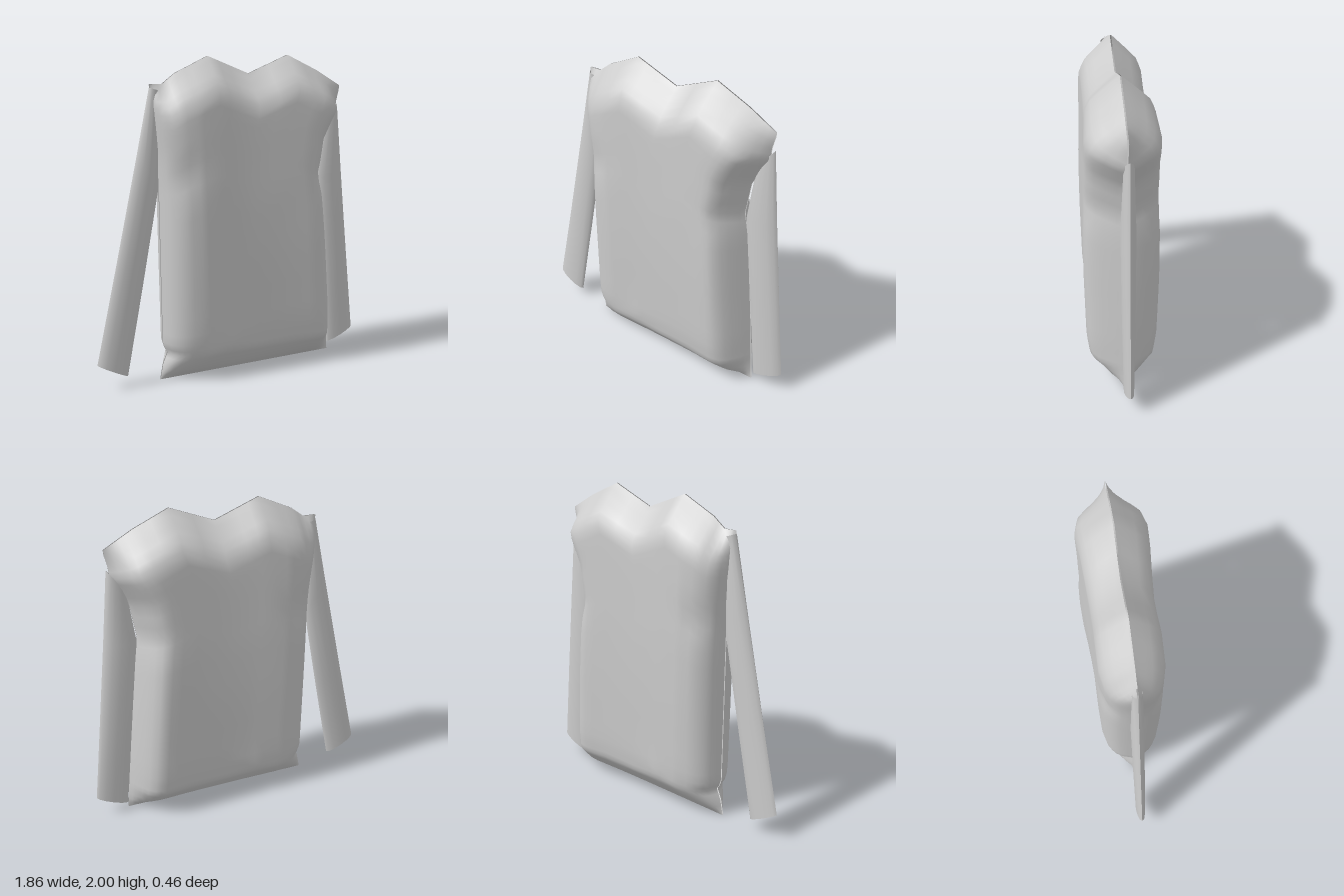
import * as THREE from 'three';

// Piecewise-linear lookup through [t, value] pairs
function along(table, t) {
  if (t <= table[0][0]) return table[0][1];
  for (let i = 1; i < table.length; i++) {
    const [t0, a] = table[i - 1], [t1, b] = table[i];
    if (t <= t1) return a + (b - a) * (t - t0) / (t1 - t0);
  }
  return table[table.length - 1][1];
}

// Smooth surface from a grid of points; flip reverses the facing
function gridSurface(rows, flip = false) {
  const n = rows[0].length, index = [];
  for (let j = 0; j < rows.length - 1; j++) {
    for (let i = 0; i < n - 1; i++) {
      const a = j * n + i, b = a + 1, c = a + n, d = c + 1;
      if (flip) index.push(a, d, b, a, c, d);
      else index.push(a, b, d, a, d, c);
    }
  }
  const g = new THREE.BufferGeometry();
  g.setAttribute('position', new THREE.Float32BufferAttribute(rows.flat(2), 3));
  g.setIndex(index);
  g.computeVertexNormals();
  return g;
}

// Outline of the body: side edges by height, neckline and shoulders by x
const leftEdge = [[0, -0.52], [0.1, -0.5], [0.17, -0.47], [0.22, -0.5], [1.2, -0.51], [1.4, -0.52], [1.72, -0.56], [1.82, -0.56]];
const rightEdge = [[0, 0.72], [0.4, 0.695], [0.8, 0.66], [1.1, 0.63], [1.24, 0.605], [1.45, 0.64], [1.56, 0.7], [1.64, 0.75], [1.7, 0.75], [1.8, 0.775]];
const topEdge = [[-0.56, 1.84], [-0.48, 1.84], [-0.4, 1.9], [-0.18, 2], [0.1, 1.89], [0.38, 2], [0.6, 1.9], [0.775, 1.8]];

// Puffiness: base depth, and falloff towards each seam
const depth = [[-0.5, 0.2], [0, 0.195], [0.3, 0.21], [0.52, 0.232], [0.7, 0.225]];
const fromTop = [[0, 0], [0.09, 0.45], [0.16, 0.78], [0.24, 0.92], [0.4, 0.95], [0.8, 1]];
const fromBottom = [[0, 0], [0.06, 0.4], [0.17, 0.86], [0.3, 0.94], [0.8, 1]];
const fromLeft = [[0, 0], [0.02, 0.4], [0.05, 0.65], [0.1, 0.86], [0.2, 1]];
const fromRight = [[0, 0], [0.04, 0.4], [0.09, 0.8], [0.13, 0.95], [0.2, 1]];

const columns = [-0.56, -0.55, -0.535, -0.51, -0.48, -0.44, -0.4, -0.34, -0.29, -0.18, -0.11, -0.04, 0.1,
  0.24, 0.38, 0.49, 0.56, 0.6, 0.64, 0.68, 0.71, 0.735, 0.755, 0.775];
const heights = [0, 0.03, 0.06, 0.1, 0.14, 0.17, 0.2, 0.24, 0.3, 0.4, 0.55, 0.7, 0.85, 1, 1.1, 1.18, 1.24,
  1.31, 1.38, 1.45, 1.51, 1.56, 1.6, 1.64, 1.68, 1.72, 1.76, 1.79, 1.82];

const dent = (x, y, cx, cy, r, amount) => amount * Math.exp(-((x - cx) ** 2 + (y - cy) ** 2) / (r * r));

// One half of the body; side is 1 for the front and -1 for the back
function bodyPanel(side) {
  const rows = heights.map(h => {
    const l = along(leftEdge, h), r = along(rightEdge, h);
    return columns.map(c => {
      const x = l + (r - l) * (c + 0.56) / 1.335;
      const top = along(topEdge, c), y = top * h / 1.82;
      const puff = along(fromTop, top - y) * along(fromBottom, y) *
        along(fromLeft, x - l) * along(fromRight, r - x);
      const folds = dent(x, y, -0.42, 1.3, 0.09, 0.025) + dent(x, y, 0.55, 1.22, 0.08, 0.02) +
        dent(x, y, -0.1, 0.24, 0.07, -0.012);
      return [x, Math.max(y, 0), side * (0.004 + puff * (along(depth, x) - folds))];
    });
  });
  return gridSurface(rows, side < 0);
}

// Flat lens-shaped sleeve from rows of [outerX, outerY, innerX, innerY, halfDepth]
function sleeve(sections, z0, flip) {
  const rows = sections.map(([ox, oy, ix, iy, d]) => {
    const ring = [];
    for (let k = 0; k <= 12; k++) {
      const a = k / 12 * Math.PI * 2, s = (1 - Math.cos(a)) / 2;
      ring.push([ox + (ix - ox) * s, oy + (iy - oy) * s, z0 + d * Math.sin(a)]);
    }
    return ring;
  });
  return gridSurface(rows, flip);
}

export function createModel() {
  const model = new THREE.Group();
  model.name = 'shirt';
  const cloth = new THREE.MeshStandardMaterial({ color: 0xcccccc, side: THREE.DoubleSide });
  cloth.name = 'grey cloth';
  const add = (name, geometry) => {
    const mesh = new THREE.Mesh(geometry, cloth);
    mesh.name = name;
    model.add(mesh);
  };

  add('frontPanel', bodyPanel(1));
  add('backPanel', bodyPanel(-1));

  // Sleeves, listed from shoulder to cuff
  add('rightSleeve', sleeve([
    [-0.56, 1.82, -0.5, 1.8, 0.03],
    [-0.648, 1.42, -0.515, 1.2, 0.04],
    [-0.79, 0.78, -0.625, 0.62, 0.036],
    [-0.93, 0.16, -0.735, 0.06, 0.03],
  ], 0, true));
  add('leftSleeve', sleeve([
    [0.77, 1.68, 0.66, 1.55, 0.03],
    [0.815, 1.22, 0.61, 1.2, 0.045],
    [0.875, 0.65, 0.67, 0.6, 0.04],
    [0.93, 0.13, 0.725, 0.045, 0.03],
  ], -0.012, false));

  return model;
}
